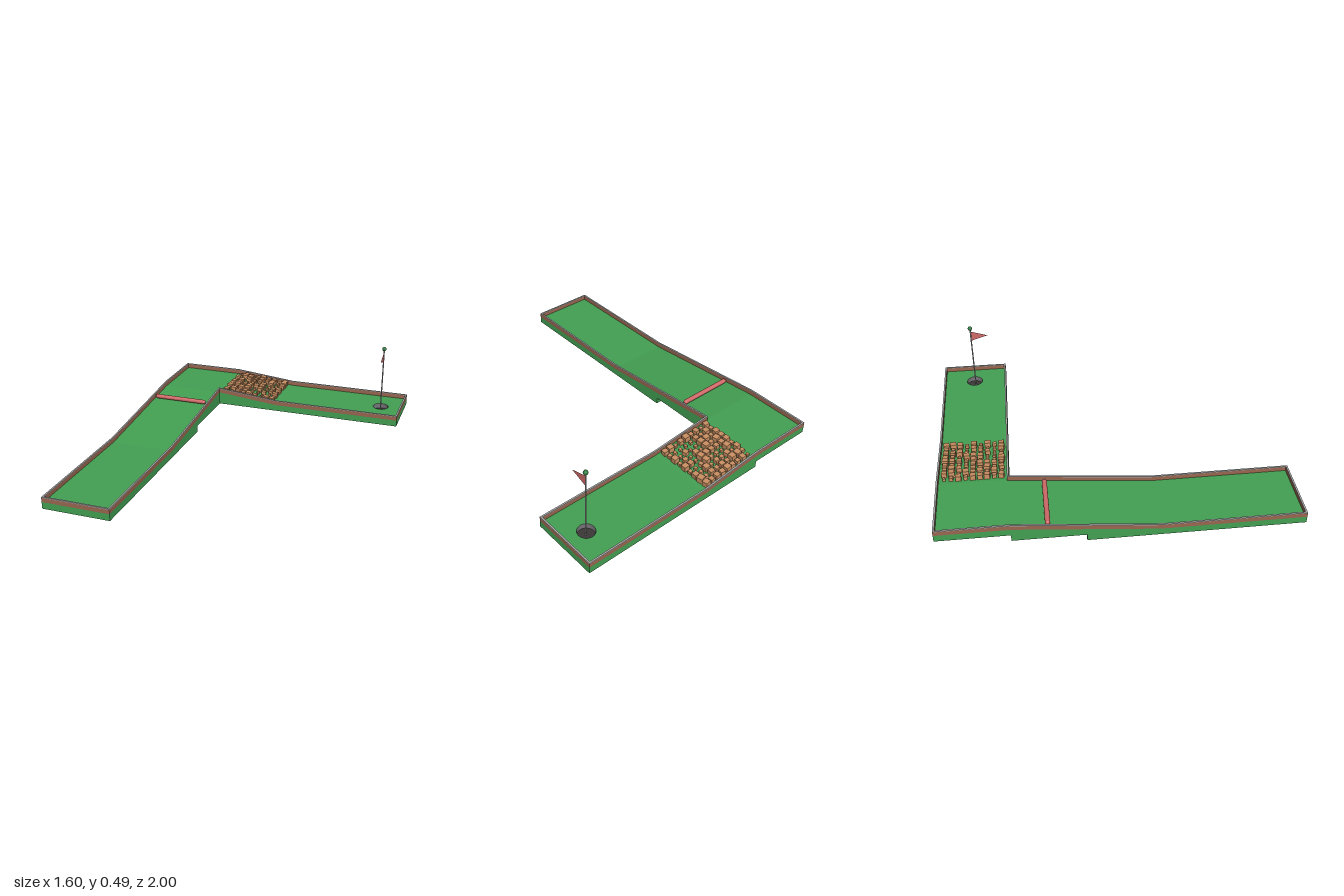
import * as THREE from 'three';
import { mergeGeometries } from 'three/addons/utils/BufferGeometryUtils.js';

const mat = (name, color, side = THREE.FrontSide) => {
  const m = new THREE.MeshStandardMaterial({ color, side });
  m.name = name;
  return m;
};

// Height of the course above its lowest level: up a ramp, round a corner, down a ramp
const clamp = THREE.MathUtils.clamp;
const rise = (x, z) => x <= -0.4
  ? 0.08 * clamp((0.2 - z) / 0.8, 0, 1)
  : 0.08 - 0.04 * clamp((x + 0.4) / 0.4, 0, 1);

// Box whose lower and upper faces follow height rules
function slab(x0, x1, z0, z1, bottom, top) {
  const g = new THREE.BoxGeometry(x1 - x0, 1, z1 - z0);
  g.translate((x0 + x1) / 2, 0, (z0 + z1) / 2);
  const p = g.attributes.position;
  for (let i = 0; i < p.count; i++) {
    const rule = p.getY(i) < 0 ? bottom : top;
    p.setY(i, rule(p.getX(i), p.getZ(i)));
  }
  g.computeVertexNormals();
  return g;
}

export function createModel() {
  const turf = mat('turf green', 0x43a052);
  const wood = mat('wall brown', 0x99664f);
  const metal = mat('light grey', 0xa9a9a9);
  const red = mat('red', 0xcf6a68, THREE.DoubleSide);
  const stone = mat('stone tan', 0xc98f62);
  const dark = mat('cup dark', 0x3c3838);
  const ballGreen = mat('knob green', 0x2f7a40);
  const cupWall = mat('cup wall grey', 0x77757a, THREE.DoubleSide);

  const group = new THREE.Group();
  const add = (name, geo, material, x = 0, y = 0, z = 0) => {
    const m = new THREE.Mesh(geo, material);
    m.name = name;
    m.position.set(x, y, z);
    group.add(m);
    return m;
  };

  // Turf tiles, each with its own flat underside: x0, x1, z0, z1, bottom
  const tiles = [
    [-0.8, -0.4, 0.2, 1, 0],
    [-0.8, -0.4, -0.2, 0.2, 0],
    [-0.8, -0.4, -0.6, -0.2, 0.04],
    [-0.8, -0.4, -1, -0.6, 0.08],
    [-0.4, 0, -1, -0.6, 0.04],
    [0, 0.4, -1, -0.6, 0.04],
  ];
  const floorY = (x, z) => rise(x, z) + 0.04;
  for (const [x0, x1, z0, z1, b] of tiles) {
    add('turfTile', slab(x0, x1, z0, z1, () => b, floorY), turf);
  }

  // Last tile, with the round hole cut into it
  const hx = 0.66, hz = -0.805, hr = 0.05;
  const shape = new THREE.Shape();
  shape.moveTo(0.4, 0.6).lineTo(0.8, 0.6).lineTo(0.8, 1).lineTo(0.4, 1).closePath();
  const hole = new THREE.Path();
  hole.absarc(hx, -hz, hr, 0, Math.PI * 2, true);
  shape.holes.push(hole);
  const holed = new THREE.ExtrudeGeometry(shape, { depth: 0.034, bevelEnabled: false, curveSegments: 24 });
  holed.rotateX(-Math.PI / 2);
  add('holeTile', holed, turf, 0, 0.046, 0);
  add('holeTileBase', slab(0.4, 0.8, -1, -0.6, () => 0.04, () => 0.046), turf);
  add('cupWall', new THREE.CylinderGeometry(hr - 0.001, hr - 0.001, 0.034, 24, 1, true), cupWall, hx, 0.064, hz);
  add('cupBottom', new THREE.CylinderGeometry(hr - 0.002, hr - 0.002, 0.004, 24), dark, hx, 0.048, hz);

  // Boundary walls with a grey capping strip
  const t = 0.01;
  const strips = [[-0.8, -0.4, 1 - t, 1], [0.8 - t, 0.8, -1, -0.6]];
  const zs = [1, 0.2, -0.2, -0.6, -1];
  for (let i = 0; i < 4; i++) {
    strips.push([-0.8, -0.8 + t, zs[i + 1], zs[i]]);
    if (i < 3) strips.push([-0.4 - t, -0.4, zs[i + 1], zs[i]]);
  }
  strips.push([-0.4 - t, -0.4, -0.6 - t, -0.6]);
  const xs = [-0.8, -0.4, 0, 0.8];
  for (let i = 0; i < 3; i++) {
    strips.push([xs[i], xs[i + 1], -1, -1 + t]);
    if (i > 0) strips.push([xs[i], xs[i + 1], -0.6 - t, -0.6]);
  }
  const layer = (lo, hi) => mergeGeometries(strips.map(([x0, x1, z0, z1]) =>
    slab(x0, x1, z0, z1, (x, z) => rise(x, z) + lo, (x, z) => rise(x, z) + hi)));
  add('boundaryWall', layer(0.04, 0.065), wood);
  add('wallCap', layer(0.065, 0.07), metal);

  // Round bar lying across the ramp
  const bar = new THREE.CapsuleGeometry(0.014, 0.327, 6, 16);
  bar.rotateZ(Math.PI / 2);
  add('rampBar', bar, red, -0.602, 0.119, -0.405);

  // Rubble patch: a grid of stones of varied size on the down ramp
  let seed = 7;
  const rand = () => (seed = (seed * 16807) % 2147483647) / 2147483647;
  const stones = [];
  for (let i = 0; i < 9; i++) {
    for (let j = 0; j < 9; j++) {
      const s = 0.016 + 0.02 * rand();
      const x = -0.365 + i * 0.04, z = -0.96 + j * 0.04;
      const g = new THREE.BoxGeometry(s, s, s);
      g.rotateY((rand() - 0.5) * 0.4);
      g.rotateZ(-0.1);
      g.translate(x, floorY(x, z) + s / 2 - 0.001, z);
      stones.push(g);
    }
  }
  add('rubble', mergeGeometries(stones), stone);

  // Flagpole with knob and pennant
  const px = 0.66, pz = -0.8;
  add('flagPole', new THREE.CylinderGeometry(0.004, 0.004, 0.43, 12), metal, px, 0.265, pz);
  add('poleKnob', new THREE.SphereGeometry(0.014, 12, 8), ballGreen, px, 0.48, pz);
  const pennant = new THREE.Shape();
  pennant.moveTo(0, 0.39).lineTo(0.105, 0.424).lineTo(0, 0.458).closePath();
  const flag = new THREE.ShapeGeometry(pennant);
  flag.rotateY(-Math.PI / 2);
  add('flag', flag, red, px, 0, pz);

  return group;
}
